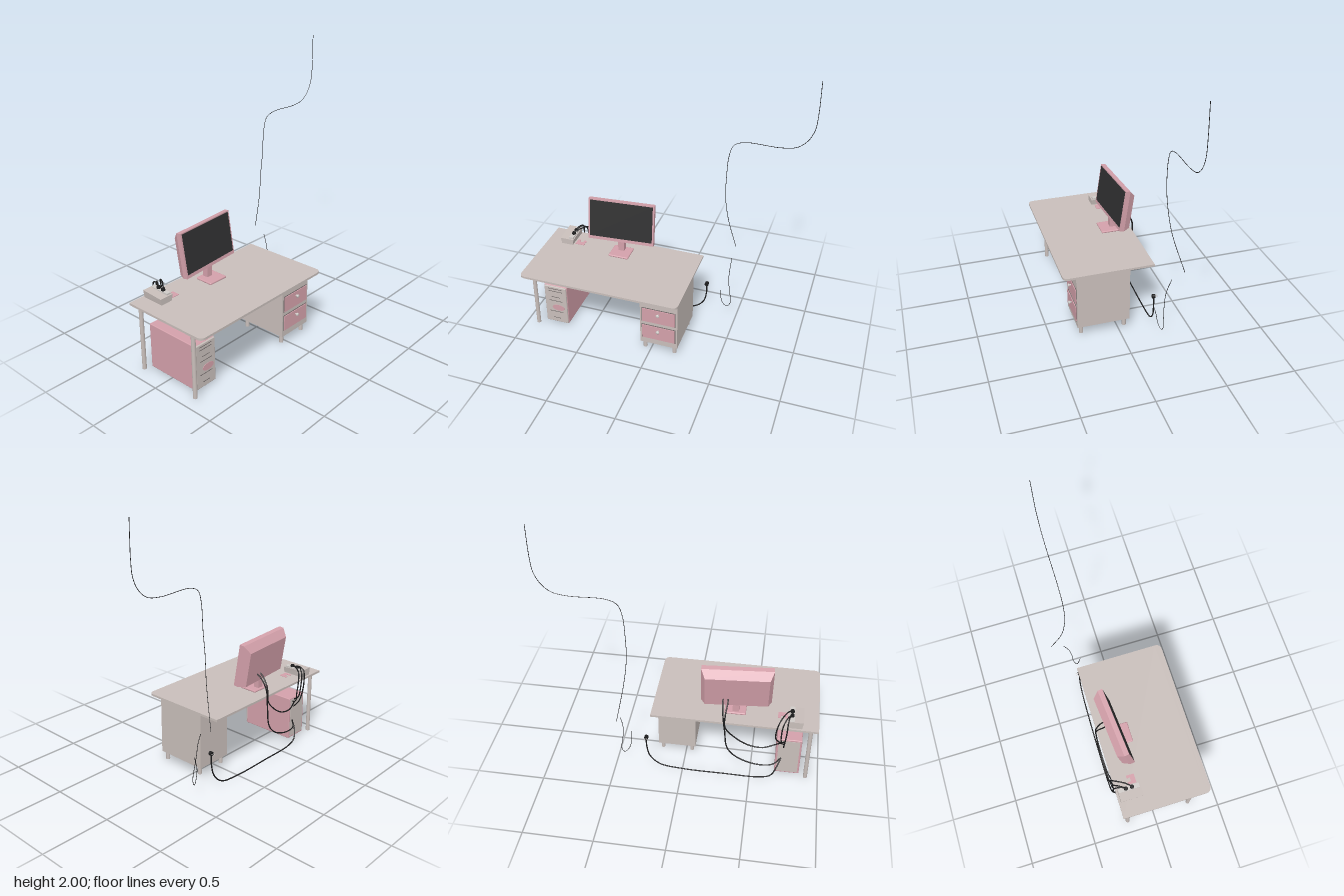
import * as THREE from 'three';
import { RoundedBoxGeometry } from 'three/addons/geometries/RoundedBoxGeometry.js';

const mat = (name, color, side = THREE.FrontSide) => {
  const m = new THREE.MeshStandardMaterial({ color, side });
  m.name = name;
  return m;
};

export function createModel() {
  const model = new THREE.Group();
  model.name = 'deskWorkstation';
  const grey = mat('warm grey', 0xc8beba);
  const pink = mat('dusty pink', 0xd3a0aa);
  const screenDark = mat('screen charcoal', 0x303031);
  const black = mat('cable black', 0x1c1c1d);
  const metal = mat('pale metal', 0xcfcac7);
  const slotGrey = mat('slot grey', 0x6d6766);

  const add = (name, geometry, material, x = 0, y = 0, z = 0, parent = model) => {
    const m = new THREE.Mesh(geometry, material);
    m.name = name;
    m.position.set(x, y, z);
    parent.add(m);
    return m;
  };
  // Box given by its minimum and maximum on each axis
  const block = (name, material, [x0, x1], [y0, y1], [z0, z1], parent = model, r = 0) => {
    const s = [x1 - x0, y1 - y0, z1 - z0];
    const g = r ? new RoundedBoxGeometry(...s, 2, r) : new THREE.BoxGeometry(...s);
    return add(name, g, material, (x0 + x1) / 2, (y0 + y1) / 2, (z0 + z1) / 2, parent);
  };
  // Box whose -z (or chosen axis) end is inset, by moving its vertices
  const taper = (w, h, d, rule) => {
    const g = new THREE.BoxGeometry(w, h, d).toNonIndexed();
    const p = g.attributes.position;
    for (let i = 0; i < p.count; i++) {
      const [x, y, z] = rule(p.getX(i), p.getY(i), p.getZ(i));
      p.setXYZ(i, x, y, z);
    }
    g.computeVertexNormals();
    return g;
  };
  const cable = (name, radius, points, sides = 8) => {
    const curve = new THREE.CatmullRomCurve3(points.map(p => new THREE.Vector3(...p)), false, 'centripetal');
    return add(name, new THREE.TubeGeometry(curve, points.length * 6, radius, sides), black);
  };

  // Table top with rounded front corners
  const s = new THREE.Shape();
  s.moveTo(-0.96, -0.26);
  s.lineTo(0.23, -0.26);
  s.lineTo(0.23, 0.36);
  s.quadraticCurveTo(0.23, 0.405, 0.185, 0.405);
  s.lineTo(-0.915, 0.405);
  s.quadraticCurveTo(-0.96, 0.405, -0.96, 0.36);
  s.closePath();
  const top = add('tableTop', new THREE.ExtrudeGeometry(s, { depth: 0.016, bevelEnabled: false }), grey, 0, 0.521, 0);
  top.rotation.x = Math.PI / 2;

  // Table legs
  for (const z of [-0.21, 0.28])
    add('tableLeg', new THREE.CylinderGeometry(0.015, 0.015, 0.495, 16), grey, -0.908, 0.2575, z);

  // Drawer cabinet
  const cabinet = new THREE.Group();
  cabinet.name = 'drawerCabinet';
  model.add(cabinet);
  block('cabinetBody', grey, [-0.073, 0.207], [0.073, 0.506], [-0.085, 0.306], cabinet);
  block('upperPanel', grey, [-0.062, 0.196], [0.425, 0.505], [0.306, 0.309], cabinet);
  for (const y of [0.18, 0.33]) {
    block('drawerSurround', slotGrey, [-0.06, 0.194], [y - 0.062, y + 0.062], [0.306, 0.308], cabinet);
    block('drawerFront', pink, [-0.055, 0.189], [y - 0.057, y + 0.057], [0.306, 0.314], cabinet);
    const stem = add('knobStem', new THREE.CylinderGeometry(0.006, 0.006, 0.016, 12), metal, 0.067, y + 0.027, 0.321, cabinet);
    stem.rotation.x = Math.PI / 2;
    const knob = add('knob', new THREE.SphereGeometry(0.013, 16, 10), metal, 0.067, y + 0.027, 0.331, cabinet);
    knob.scale.z = 0.6;
  }
  for (const x of [-0.044, 0.178])
    for (const z of [-0.05, 0.275])
      add('cabinetFoot', new THREE.CylinderGeometry(0.015, 0.015, 0.065, 16), grey, x, 0.0425, z, cabinet);

  // Computer tower
  const tower = new THREE.Group();
  tower.name = 'computerTower';
  model.add(tower);
  block('towerCase', pink, [-0.86, -0.678], [0.012, 0.348], [-0.19, 0.232], tower, 0.006);
  block('towerFront', grey, [-0.856, -0.682], [0.016, 0.344], [0.225, 0.243], tower, 0.006);
  block('towerBack', grey, [-0.846, -0.692], [0.026, 0.334], [-0.193, -0.185], tower);
  for (const [y, w] of [[0.325, 0.11], [0.303, 0.11], [0.25, 0.07], [0.215, 0.11], [0.115, 0.11], [0.055, 0.06]])
    block('frontSlot', slotGrey, [-0.769 - w / 2, -0.769 + w / 2], [y - 0.002, y + 0.002], [0.242, 0.2445], tower);
  const badge = add('frontBadge', new THREE.CylinderGeometry(0.05, 0.05, 0.004, 24), pink, -0.75, 0.155, 0.2435, tower);
  badge.rotation.x = Math.PI / 2;
  badge.scale.z = 0.52;

  // Monitor head, turned and tilted back
  const head = new THREE.Group();
  head.name = 'monitorHead';
  head.position.set(-0.367, 0.781, -0.113);
  head.rotation.set(-0.15, 0.08, 0, 'YXZ');
  model.add(head);
  block('screenFrame', pink, [-0.25, 0.25], [-0.161, 0.161], [-0.035, 0], head);
  block('screen', screenDark, [-0.238, 0.238], [-0.136, 0.152], [0, 0.002], head);
  const shell = taper(0.5, 0.322, 0.05, (x, y, z) => z < 0
    ? [x * 0.89, y > 0 ? y - 0.048 : y + 0.01, z] : [x, y, z]);
  add('monitorBack', shell, pink, 0, 0, -0.06, head);

  // Monitor stand
  block('standBase', pink, [-0.442, -0.288], [0.52, 0.536], [-0.165, -0.025], model, 0.007);
  block('standNeck', pink, [-0.392, -0.346], [0.53, 0.66], [-0.148, -0.105]);

  // Socket box with plugs at the back corner
  const box = taper(0.105, 0.055, 0.17, (x, y, z) => [
    y < 0 ? x * 0.85 : x, y > 0 && z > 0 ? y - 0.01 : y, z]);
  add('socketBox', box, grey, -0.798, 0.5485, -0.16);
  block('socketStrip', metal, [-0.786, -0.752], [0.56, 0.579], [-0.242, -0.085]);
  for (const z of [-0.185, -0.14])
    add('boxPlug', new THREE.CylinderGeometry(0.013, 0.016, 0.022, 16), black, -0.768, 0.584, z);

  // Notched note lying on the table
  const n = new THREE.Shape([[-0.74, -0.155], [-0.718, -0.155], [-0.718, -0.13], [-0.69, -0.13],
    [-0.69, -0.155], [-0.67, -0.155], [-0.67, -0.095], [-0.74, -0.095]].map(p => new THREE.Vector2(...p)));
  const note = add('note', new THREE.ExtrudeGeometry(n, { depth: 0.003, bevelEnabled: false }), pink, 0, 0.524, 0);
  note.rotation.x = Math.PI / 2;

  // Cables between monitor, tower, socket box and wall plug
  const r = 0.0048;
  cable('monitorPowerCable', r, [[-0.28, 0.69, -0.17], [-0.28, 0.66, -0.22], [-0.29, 0.58, -0.265],
    [-0.305, 0.45, -0.268], [-0.33, 0.28, -0.268], [-0.4, 0.2, -0.268], [-0.54, 0.145, -0.265],
    [-0.66, 0.14, -0.245], [-0.72, 0.16, -0.19]]);
  cable('monitorSignalCable', r, [[-0.315, 0.69, -0.17], [-0.315, 0.66, -0.21], [-0.305, 0.59, -0.262],
    [-0.31, 0.48, -0.27], [-0.39, 0.39, -0.27], [-0.48, 0.335, -0.268], [-0.58, 0.318, -0.262],
    [-0.67, 0.335, -0.235], [-0.72, 0.32, -0.19]]);
  cable('boxCableA', r, [[-0.768, 0.592, -0.185], [-0.755, 0.602, -0.215], [-0.745, 0.585, -0.262],
    [-0.742, 0.5, -0.272], [-0.735, 0.4, -0.262], [-0.73, 0.33, -0.24], [-0.73, 0.27, -0.19]]);
  cable('boxCableB', r, [[-0.768, 0.592, -0.14], [-0.735, 0.605, -0.18], [-0.69, 0.585, -0.255],
    [-0.668, 0.5, -0.272], [-0.668, 0.42, -0.262], [-0.705, 0.355, -0.235], [-0.73, 0.3, -0.19]]);
  cable('boxCableC', r, [[-0.768, 0.592, -0.185], [-0.74, 0.6, -0.23], [-0.715, 0.565, -0.268],
    [-0.705, 0.47, -0.27], [-0.71, 0.38, -0.25], [-0.74, 0.33, -0.19]]);
  cable('mainsCable', r, [[-0.72, 0.16, -0.19], [-0.69, 0.1, -0.24], [-0.655, 0.04, -0.26],
    [-0.58, 0.014, -0.265], [-0.3, 0.008, -0.265], [0, 0.006, -0.26], [0.17, 0.028, -0.255],
    [0.245, 0.1, -0.25], [0.268, 0.2, -0.245], [0.268, 0.275, -0.245]]);
  const plug = add('wallPlug', new THREE.CylinderGeometry(0.015, 0.015, 0.022, 16), black, 0.268, 0.278, -0.243);
  plug.rotation.x = Math.PI / 2;
  for (const dx of [-0.007, 0.007]) {
    const pin = add('plugPin', new THREE.CylinderGeometry(0.002, 0.002, 0.02, 8), metal, 0.268 + dx, 0.278, -0.262);
    pin.rotation.x = Math.PI / 2;
  }

  // Thin loose wires hanging beside the desk
  cable('hangingWire', 0.002, [[0.95, 2, -0.27], [0.95, 1.76, -0.27], [0.94, 1.66, -0.27], [0.9, 1.575, -0.27],
    [0.835, 1.52, -0.27], [0.73, 1.5, -0.27], [0.49, 1.5, -0.27], [0.415, 1.47, -0.27], [0.385, 1.39, -0.268],
    [0.372, 1.2, -0.27], [0.37, 1.04, -0.285], [0.39, 0.85, -0.315], [0.44, 0.56, -0.4]], 5);
  cable('wireLoop', 0.002, [[0.437, 0.515, -0.308], [0.432, 0.42, -0.275], [0.432, 0.33, -0.262], [0.455, 0.17, -0.25],
    [0.452, 0.125, -0.25], [0.432, 0.105, -0.243], [0.402, 0.138, -0.23], [0.386, 0.2, -0.222],
    [0.387, 0.28, -0.2]], 5);

  return model;
}
